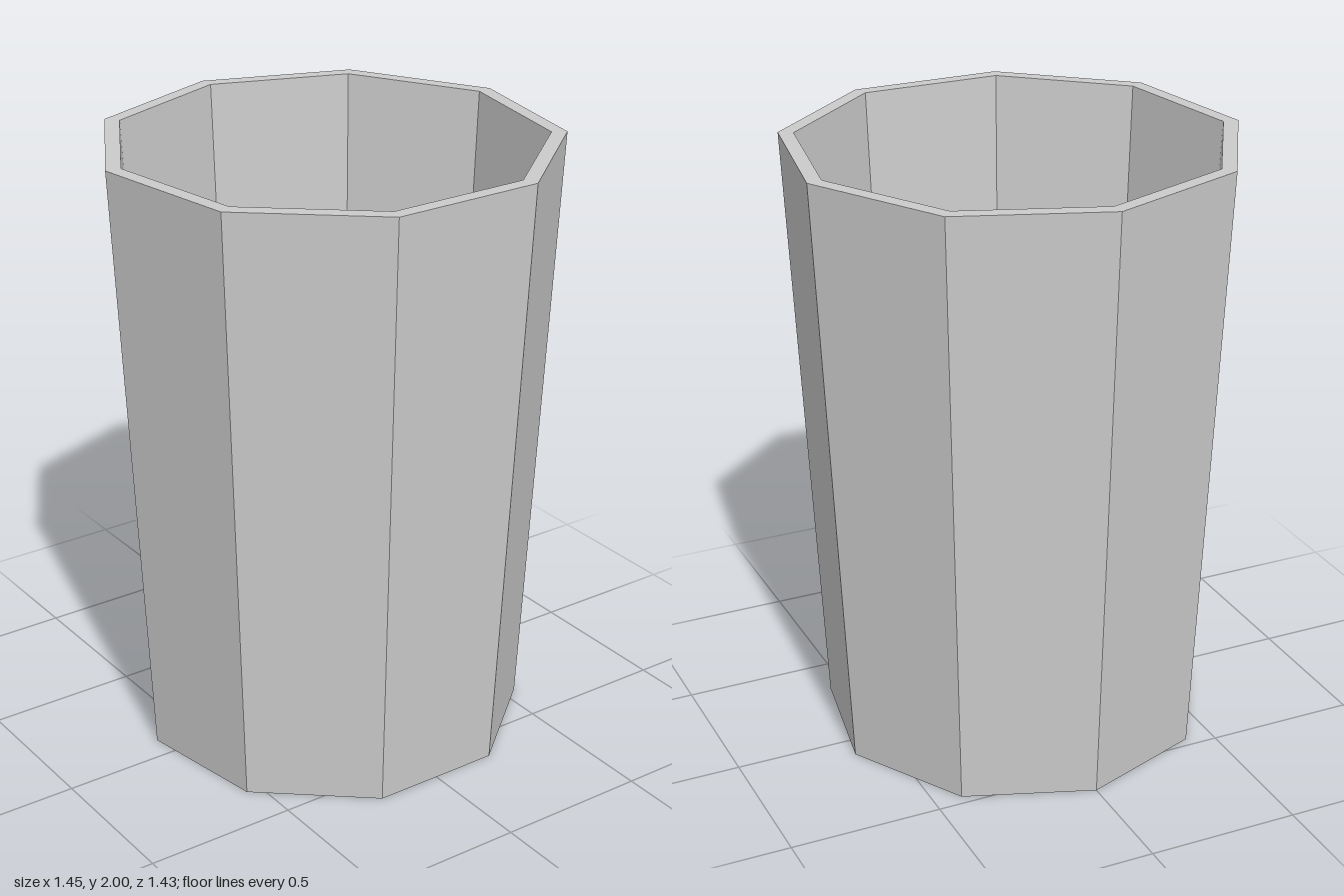
import * as THREE from 'three';

const SIDES = 9;

export function createModel() {
  const group = new THREE.Group();
  group.name = 'tumbler';

  // Closed cross-section: underside, outer wall, rim, inner wall, inner floor
  const profile = [
    [0, 0],
    [0.635, 0],
    [0.735, 2],
    [0.685, 2],
    [0.595, 0.16],
    [0, 0.16],
  ].map(([r, y]) => new THREE.Vector2(r, y));

  // One corner points to the back, one flat side to the front
  const cup = new THREE.Mesh(
    new THREE.LatheGeometry(profile, SIDES, Math.PI),
    new THREE.MeshStandardMaterial({ color: 0xcccccc, flatShading: true })
  );
  cup.name = 'cup';
  // An odd number of sides is off-centre front to back
  cup.position.z = 0.735 * (1 - Math.cos(Math.PI / SIDES)) / 2;
  group.add(cup);

  return group;
}
